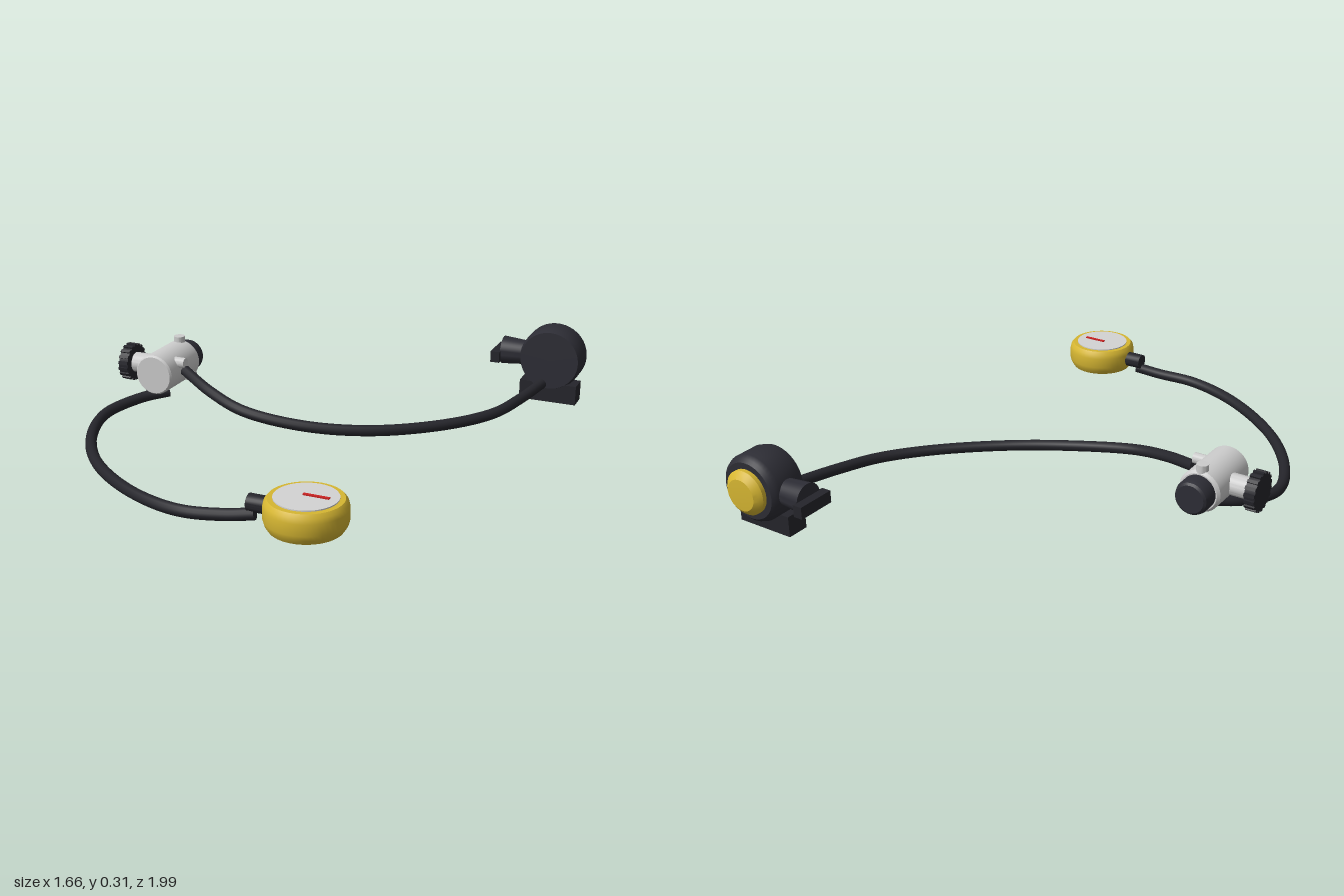
import * as THREE from 'three';
import { toCreasedNormals } from 'three/addons/utils/BufferGeometryUtils.js';

const mat = (name, color) => {
  const m = new THREE.MeshStandardMaterial({ color });
  m.name = name;
  return m;
};

export function createModel() {
  const dark = mat('charcoal plastic', 0x2d2d35);
  const rubber = mat('black rubber', 0x25252b);
  const steel = mat('brushed steel', 0xcccccc);
  const yellow = mat('yellow', 0xd6b632);
  const white = mat('dial grey', 0xd4d4d4);
  const red = mat('needle red', 0xcc2222);

  const model = new THREE.Group();
  model.name = 'breathingRegulator';

  const group = (name, x, y, z) => {
    const g = new THREE.Group();
    g.name = name;
    g.position.set(x, y, z);
    model.add(g);
    return g;
  };
  const add = (parent, name, geometry, material, x = 0, y = 0, z = 0) => {
    const mesh = new THREE.Mesh(geometry, material);
    mesh.name = name;
    mesh.position.set(x, y, z);
    parent.add(mesh);
    return mesh;
  };
  // Turned solid from [radius, height] pairs, listed from low to high along the axis
  const turned = (profile, axis = 'y', segments = 40) => {
    const points = profile.map(([r, h]) => new THREE.Vector2(r, h));
    const g = toCreasedNormals(new THREE.LatheGeometry(points, segments), 0.5);
    if (axis === 'x') g.rotateZ(-Math.PI / 2);
    if (axis === 'z') g.rotateX(Math.PI / 2);
    return g;
  };
  const rod = (r, from, to, axis, segments = 24) =>
    turned([[0, from], [r, from], [r, to], [0, to]], axis, segments);
  const box = (w, h, d) => new THREE.BoxGeometry(w, h, d);

  // First stage: steel body lying along z
  const first = group('firstStage', -0.645, 0.205, 0);
  add(first, 'firstStageBody', turned([
    [0, -0.167], [0.07, -0.167], [0.079, -0.157],
    [0.079, 0.062], [0.073, 0.07], [0, 0.07]], 'z'), steel);
  add(first, 'endCap', turned([
    [0, -0.232], [0.052, -0.232], [0.06, -0.225], [0.065, -0.21],
    [0.065, -0.16], [0, -0.16]], 'z'), dark);

  // Clamp knob on a stem, with ribs around its rim
  add(first, 'knobStem', rod(0.04, -0.15, -0.05, 'x'), steel, 0, 0, -0.05);
  const knob = new THREE.Group();
  knob.name = 'clampKnob';
  knob.position.set(-0.167, 0, -0.05);
  first.add(knob);
  add(knob, 'knobCore', rod(0.068, -0.02, 0.02, 'x', 32), rubber);
  const ribs = 18;
  for (let i = 0; i < ribs; i++) {
    const a = (i / ribs) * Math.PI * 2;
    const rib = add(knob, 'knobRib', box(0.04, 0.012, 0.012), rubber,
      0, Math.cos(a) * 0.068, Math.sin(a) * 0.068);
    rib.rotation.x = a;
  }

  // Pressure ports: one on top, two on the side
  add(first, 'topPort', rod(0.022, 0.05, 0.1, 'y'), steel, 0, 0, -0.145);
  for (const [y, z] of [[0.039, -0.012], [-0.036, -0.082]])
    add(first, 'sidePort', rod(0.02, 0.03, 0.099, 'x'), steel, 0, y, z);

  // Hoses with closed ends
  const hose = (name, path) => {
    const curve = new THREE.CatmullRomCurve3(path.map((p) => new THREE.Vector3(...p)));
    const g = group(name, 0, 0, 0);
    add(g, name + 'Tube', new THREE.TubeGeometry(curve, 72, 0.021, 12), rubber);
    for (const t of [0, 1]) {
      const p = curve.getPoint(t);
      const dir = curve.getTangent(t).multiplyScalar(t ? 1 : -1);
      const cap = add(g, name + 'End', new THREE.CircleGeometry(0.021, 12), rubber, p.x, p.y, p.z);
      cap.quaternion.setFromUnitVectors(new THREE.Vector3(0, 0, 1), dir);
    }
  };
  hose('secondStageHose', [
    [-0.55, 0.212, -0.015], [-0.39, 0.172, 0.07], [-0.23, 0.136, 0.116],
    [0, 0.102, 0.085], [0.233, 0.084, -0.015], [0.466, 0.08, -0.2],
    [0.6, 0.085, -0.376], [0.656, 0.096, -0.545], [0.695, 0.108, -0.72]]);
  hose('gaugeHose', [
    [-0.635, 0.108, -0.03], [-0.71, 0.097, 0.04], [-0.777, 0.078, 0.196],
    [-0.72, 0.07, 0.4], [-0.55, 0.072, 0.635], [-0.285, 0.08, 0.825],
    [-0.07, 0.086, 0.894], [0.085, 0.094, 0.878], [0.185, 0.108, 0.86]]);

  // Pressure gauge lying face up
  const gauge = group('pressureGauge', 0.36, 0, 0.853);
  add(gauge, 'gaugeCase', turned([
    [0, 0.091], [0.122, 0.091], [0.133, 0.108], [0.138, 0.125],
    [0.138, 0.165], [0.134, 0.182], [0.124, 0.194], [0, 0.194]], 'y', 48), yellow);
  add(gauge, 'gaugeDial', rod(0.106, 0.192, 0.198, 'y', 48), white);
  add(gauge, 'gaugeNeedle', box(0.09, 0.005, 0.011), red, 0.03, 0.2, -0.009);
  add(gauge, 'gaugeConnector', rod(0.03, -0.2, -0.11, 'x'), rubber, 0, 0.142, 0);

  // Second stage: round housing facing along z, purge button at the back
  const second = group('secondStage', 0.698, 0.177, 0);
  add(second, 'secondStageHousing', turned([
    [0, -0.959], [0.108, -0.959], [0.12, -0.948], [0.128, -0.93],
    [0.128, -0.84], [0.119, -0.813], [0, -0.813]], 'z', 48), dark);
  add(second, 'purgeButton', turned([
    [0, -1], [0.06, -0.997], [0.076, -0.985],
    [0.085, -0.975], [0.085, -0.95], [0, -0.95]], 'z'), yellow);
  add(second, 'exhaustTee', box(0.235, 0.08, 0.085), rubber, 0, -0.137, -0.858);
  add(second, 'sideNeck', turned([
    [0, -0.213], [0.058, -0.213], [0.049, -0.11], [0, -0.09]], 'x'), dark, 0, 0, -0.888);
  add(second, 'mouthFlange', box(0.037, 0.046, 0.148), rubber, -0.229, -0.014, -0.888);

  return model;
}
